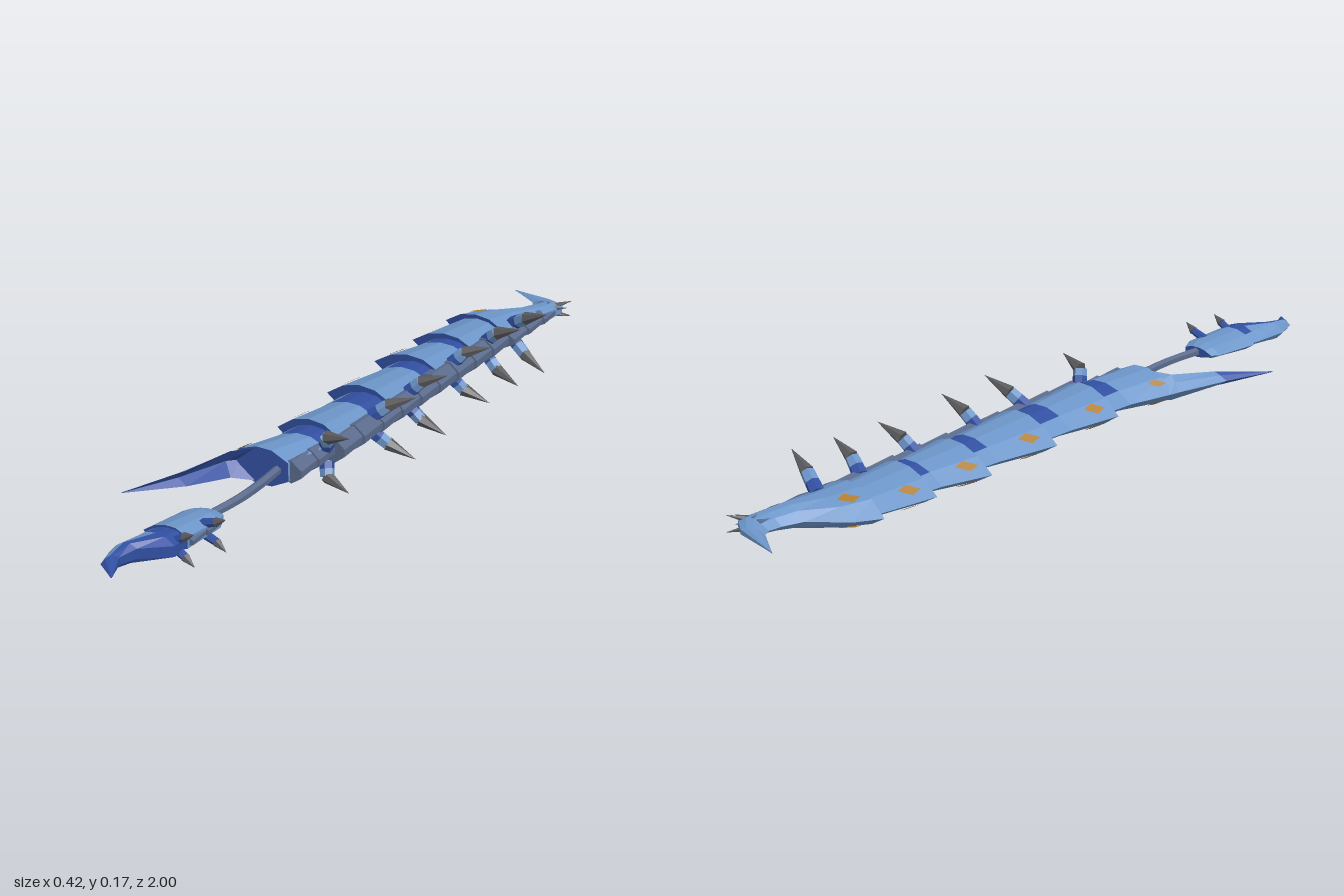
import * as THREE from 'three';

const mat = (name, color, extra = {}) =>
  Object.assign(new THREE.MeshStandardMaterial({ color, flatShading: true, ...extra }), { name });

export function createModel() {
  const model = new THREE.Group();
  const light = mat('shellBlue', 0x6c95c8), dark = mat('deepBlue', 0x3250a2);
  const slate = mat('bellySlate', 0x5b6b8c), claw = mat('clawGrey', 0x5b5b5e);
  const amber = mat('amber', 0xae7d30, { side: THREE.DoubleSide });
  const MID = 0.086;
  const V = (x, y, z) => new THREE.Vector3(x, y, z);
  const add = (name, geo, material) => {
    const m = new THREE.Mesh(geo, material);
    m.name = name;
    model.add(m);
    return m;
  };

  // Half cross-section: position from ridge to belly, share of the half height
  const SHELL = [[0, 0], [0.25, 0.7], [0.5, 1], [0.74, 0.97], [1, 0.5]];
  const BLADE = [[0, 0], [0.5, 0.6], [1, 1], [0.45, 0]];
  const BELLY = [[0, 0.8], [0.55, 1], [1, 0.3]];

  // A section is [ridgeX, ridgeZ, bellyX, bellyZ, halfHeight]
  const ringOf = ([rx, rz, bx, bz, h], profile) => {
    const at = (s) => ([t, k]) => V(rx + (bx - rx) * t, MID + s * k * h, rz + (bz - rz) * t);
    const low = profile.filter((p) => p[1] > 0).map(at(-1)).reverse();
    return [...profile.map(at(1)), ...low];
  };

  // Skin between sections; pick(ring, face) gives 0 or 1 for the two colours, caps use the second
  function loft(name, sections, mats, pick, profile = SHELL) {
    const rings = sections.map((s) => ringOf(s, profile)), n = rings[0].length;
    const tris = [[], []];
    for (let i = 0; i + 1 < rings.length; i++) {
      for (let j = 0; j < n; j++) {
        const k = (j + 1) % n, [p, q] = [rings[i], rings[i + 1]];
        tris[pick(i, j)].push(p[j], q[j], q[k], p[j], q[k], p[k]);
      }
    }
    [rings[0], rings[rings.length - 1]].forEach((r, end) => {
      const c = r.reduce((a, p) => a.add(p), V(0, 0, 0)).divideScalar(n);
      for (let j = 0; j < n; j++) {
        const k = (j + 1) % n;
        tris[1].push(c, ...(end ? [r[k], r[j]] : [r[j], r[k]]));
      }
    });
    const geo = new THREE.BufferGeometry().setFromPoints([...tris[0], ...tris[1]]);
    geo.addGroup(0, tris[0].length, 0);
    geo.addGroup(tris[0].length, tris[1].length, 1);
    geo.computeVertexNormals();
    add(name, geo, mats);
    return rings;
  }

  // Dark band on the front of a plate, leaving the ridge faces light
  const band = (i, j) => (i === 0 && j > 0 && j < 8 ? 1 : 0);

  // Long amber diamonds lying on a shell face, one on each side
  function spots(a, b, j, u, v, du, dv) {
    const at = (s, t) => a[j].clone().lerp(b[j], u + s)
      .lerp(a[j + 1].clone().lerp(b[j + 1], u + s), v + t);
    const q = [at(-du, 0.12), at(0, dv), at(du, -0.12), at(0, -dv)];
    for (const s of [1, -1]) {
      const p = q.map((c) => V(c.x - 0.002, MID + s * (c.y - MID + 0.003), c.z));
      const geo = new THREE.BufferGeometry().setFromPoints([p[0], p[2], p[1], p[0], p[3], p[2]]);
      geo.computeVertexNormals();
      add('eyeSpot', geo, amber);
    }
  }

  // Tapered rod between two points
  function limb(name, a, b, r0, r1, material) {
    const d = b.clone().sub(a);
    const m = add(name, new THREE.CylinderGeometry(r1, r0, d.length(), 6), material);
    m.position.copy(a).addScaledVector(d, 0.5);
    m.quaternion.setFromUnitVectors(V(0, 1, 0), d.normalize());
  }

  // Head with curved horn
  const head = loft('head', [
    [-0.05, -1, -0.049, -0.999, 0.001],
    [0.035, -0.945, 0.09, -0.972, 0.013],
    [0.045, -0.925, 0.13, -0.945, 0.019],
    [0.04, -0.89, 0.125, -0.9, 0.023],
    [0.02, -0.835, 0.115, -0.84, 0.03],
    [-0.065, -0.765, 0.105, -0.76, 0.038],
    [-0.105, -0.7, 0.1, -0.665, 0.046],
  ], [light, dark], () => 0);
  spots(head[5], head[6], 1, 0.42, 0.42, 0.32, 0.42);

  // Overlapping back plates: start z, end z, ridge x at the end, dark band length, half height
  [
    [-0.72, -0.505, -0.11, 0.03, 0.046],
    [-0.54, -0.325, -0.12, 0.06, 0.048],
    [-0.36, -0.085, -0.115, 0.08, 0.05],
    [-0.12, 0.16, -0.105, 0.105, 0.051],
  ].forEach(([z0, z1, rx, length, h]) => {
    const r = loft('backPlate', [
      [-0.07, z0, 0.085, z0, h * 0.68],
      [-0.078, z0 + length, 0.09, z0 + length, h * 0.77],
      [rx, z1 - 0.025, 0.095, z1 - 0.005, h],
    ], [light, dark], band);
    spots(r[1], r[2], 0, 0.66, 0.68, 0.033 / (z1 - z0 - length), 0.29);
  });

  // Tail plate and the hollow blade behind it
  const tail = loft('tailPlate', [
    [-0.07, 0.12, 0.085, 0.12, 0.036],
    [-0.078, 0.215, 0.085, 0.205, 0.04],
    [-0.115, 0.35, 0.065, 0.34, 0.05],
  ], [light, dark], band);
  spots(tail[1], tail[2], 0, 0.8, 0.74, 0.18, 0.22);
  loft('tailBlade', [
    [-0.112, 0.335, -0.03, 0.345, 0.044],
    [-0.117, 0.36, -0.08, 0.378, 0.036],
    [-0.16, 0.51, -0.125, 0.5, 0.021],
    [-0.21, 0.645, -0.209, 0.645, 0.001],
  ], [light, dark], (i, j) => (i === 2 || j === 2 || j === 3 ? 1 : 0), BLADE);

  // Belly armour: a chain of small, slightly flared scales
  const scales = (z0, z1, count, x, h) => {
    const step = (z1 - z0) / count;
    for (let i = 0; i < count; i++) {
      const z = z0 + i * step, e = z + step * 1.05;
      loft('bellyScale', [
        [x - 0.06, z, x - 0.002, z, h * 0.9],
        [x - 0.06, e, x + 0.005, e, h],
      ], [slate, slate], () => 0, BELLY);
    }
  };
  scales(-0.93, -0.67, 3, 0.127, 0.023);
  scales(-0.67, 0.17, 9, 0.117, 0.033);
  scales(0.17, 0.33, 2, 0.095, 0.03);
  scales(0.64, 0.76, 2, 0.082, 0.017);

  // Clawed legs: base z, tip z, tip x, tip height
  [
    [-0.735, -0.7, 0.21, 0.086], [-0.595, -0.577, 0.195, 0.082],
    [-0.41, -0.435, 0.187, 0.08], [-0.19, -0.207, 0.19, 0.084],
    [-0.01, -0.045, 0.195, 0.086], [0.2, 0.23, 0.17, 0.074],
  ].forEach(([zb, zt, x, h]) => {
    for (const s of [1, -1]) {
      const base = V(0.085, MID + s * 0.02, zb);
      const knee = V(x - 0.073, MID + s * 0.053, (zb + zt) / 2);
      const joint = base.clone().lerp(knee, 0.5);
      limb('legRoot', base, joint, 0.02, 0.019, dark);
      limb('leg', joint, knee, 0.019, 0.018, light);
      limb('legClaw', knee, V(x, MID + s * h, zt), 0.0185, 0.0005, claw);
    }
  });

  // Small spines on the head and grip
  for (const s of [1, -1]) {
    limb('headSpine', V(0.115, MID + s * 0.012, -0.935), V(0.148, MID + s * 0.022, -0.965), 0.008, 0.0005, claw);
    limb('headSpine', V(0.115, MID + s * 0.008, -0.92), V(0.15, MID + s * 0.012, -0.935), 0.008, 0.0005, claw);
    for (const [z, x] of [[0.69, 0.13], [0.79, 0.112]]) {
      const knee = V(x - 0.03, MID + s * 0.026, z);
      limb('gripLeg', V(0.06, MID + s * 0.012, z), knee, 0.012, 0.01, dark);
      limb('gripSpine', knee, V(x, MID + s * 0.042, z + 0.005), 0.012, 0.0005, claw);
    }
  }

  // Bent shaft linking body and grip
  const path = new THREE.CatmullRomCurve3([
    V(0.03, MID, 0.31), V(0.042, MID, 0.42), V(0.045, MID, 0.52), V(0.034, MID, 0.64)]);
  add('shaft', new THREE.TubeGeometry(path, 8, 0.012, 6), slate);

  // Grip shell and hooked end
  loft('gripPlate', [
    [-0.015, 0.625, 0.07, 0.62, 0.014],
    [-0.03, 0.645, 0.082, 0.65, 0.022],
    [-0.05, 0.772, 0.075, 0.77, 0.03],
  ], [light, dark], () => 0);
  loft('gripHook', [
    [-0.035, 0.745, 0.07, 0.745, 0.023],
    [-0.043, 0.8, 0.075, 0.82, 0.028],
    [-0.05, 0.9, 0.01, 0.875, 0.026],
    [-0.03, 0.96, -0.003, 0.925, 0.018],
    [0.029, 0.999, 0.03, 0.995, 0.001],
  ], [light, dark], (i, j) => (band(i, j) || i === 3 || (j > 1 && j < 7) ? 1 : 0));

  return model;
}
